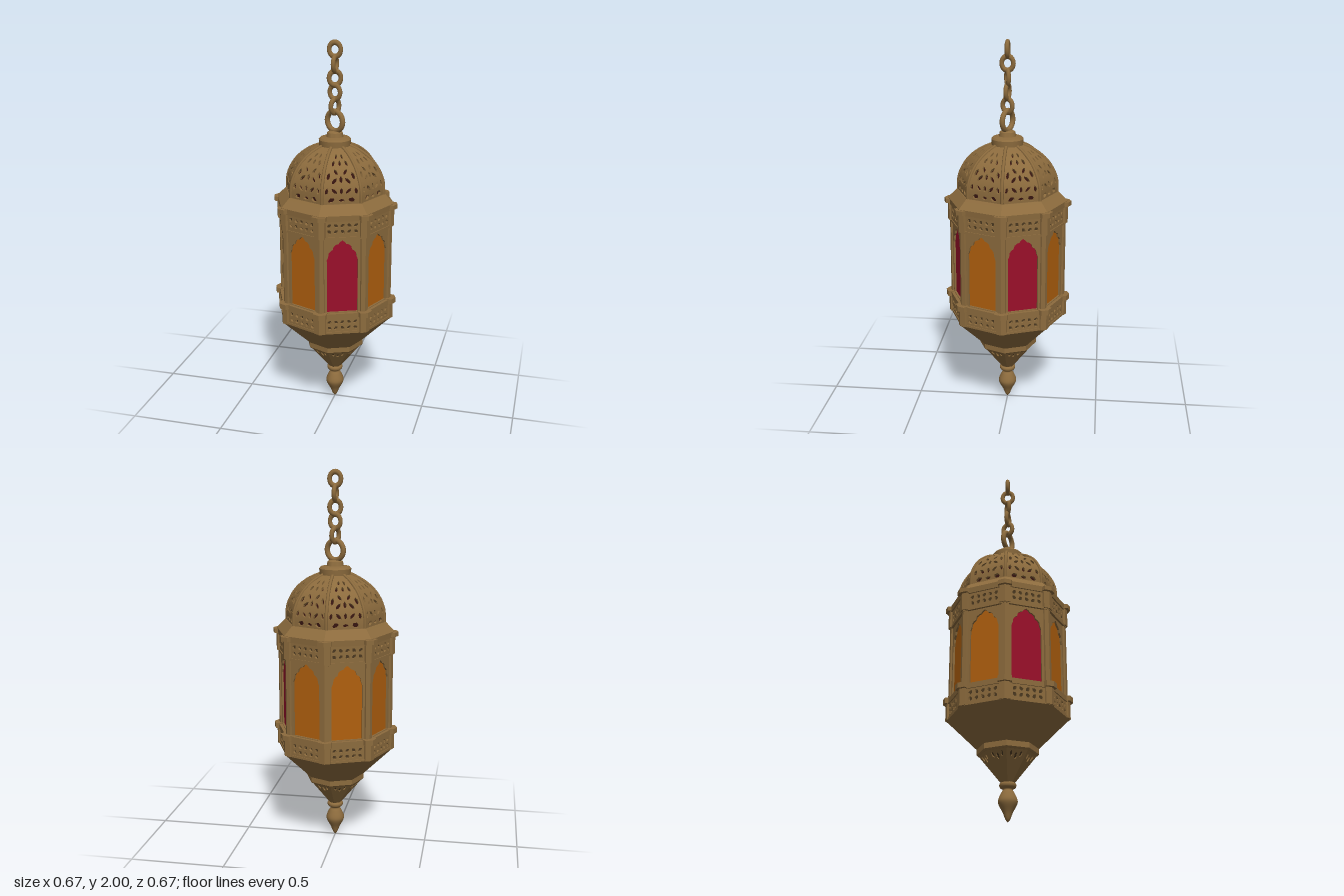
import * as THREE from 'three';
import { toCreasedNormals } from 'three/addons/utils/BufferGeometryUtils.js';

const SIDES = 8, STEP = Math.PI / 4, COS = Math.cos(STEP / 2), TAN = Math.tan(STEP / 2);
const V = (x, y) => new THREE.Vector2(x, y);
const vecs = (list) => list.map(([x, y]) => V(x, y));

function material(name, hex, side = THREE.FrontSide) {
  const m = new THREE.MeshStandardMaterial({ color: hex, side });
  m.name = name;
  return m;
}

// Six-sided leaf-shaped hole; angle leans away from vertical
function petal(x, s, len, wid, ang = 0) {
  const outline = [[0, .5], [.42, .18], [.4, -.25], [0, -.5], [-.4, -.25], [-.42, .18]];
  return outline.map(([a, b]) => V(a * wid, b * len).rotateAround(V(0, 0), -ang).add(V(x, s)));
}

// Petals listed for one half and mirrored to the other
const mirrored = (list) => list.flatMap(([x, s, l, w, a = 0]) =>
  x === 0 ? [petal(x, s, l, w, a)] : [petal(x, s, l, w, a), petal(-x, s, l, w, -a)]);

// One pierced wall of the octagon, following a profile curve of (apothem, height)
function facet(curve, s0, s1, holes, thick = .014) {
  const L = curve.getLength(), n = 6, edge = [];
  for (let i = 0; i <= n; i++) {
    const s = s0 + (s1 - s0) * i / n;
    edge.push(V(curve.getPointAt(Math.min(1, s / L)).x * TAN, s));
  }
  const shape = new THREE.Shape([...edge, ...edge.map((p) => V(-p.x, p.y)).reverse()]);
  shape.holes = holes.map((h) => new THREE.Path(h));
  const g = new THREE.ExtrudeGeometry(shape, { depth: thick, bevelEnabled: false });
  const pos = g.attributes.position, nor = g.attributes.normal;
  for (let i = 0; i < pos.count; i++) {
    const u = THREE.MathUtils.clamp(pos.getY(i) / L, 0, 1), z = pos.getZ(i) - thick;
    const p = curve.getPointAt(u), t = curve.getTangentAt(u);
    pos.setXYZ(i, pos.getX(i), p.y - t.x * z, p.x + t.y * z);
    const ny = nor.getY(i), nz = nor.getZ(i);
    nor.setXYZ(i, nor.getX(i), t.y * ny - t.x * nz, t.x * ny + t.y * nz);
  }
  return g;
}

// Straight wall profile given by corner radii and heights
const straight = (r0, y0, r1, y1) => new THREE.LineCurve(V(r0 * COS, y0), V(r1 * COS, y1));

// Octagonal ring or cone with flat sides
function octagon(list) {
  const g = new THREE.LatheGeometry(vecs(list), SIDES).toNonIndexed();
  g.computeVertexNormals();
  return g;
}

// Chevron block that wraps a corner of the octagon
function cornerBlock(r, w, y0, y1) {
  const d = w * TAN, inner = r - .06;
  const shape = new THREE.Shape(vecs([[0, -r], [w, d - r], [w, d - inner], [0, -inner], [-w, d - inner], [-w, d - r]]));
  const g = new THREE.ExtrudeGeometry(shape, { depth: y1 - y0, bevelEnabled: false });
  return g.rotateX(-Math.PI / 2).translate(0, y0, 0);
}

export function createModel() {
  const root = new THREE.Group();
  root.name = 'hangingLantern';
  const brass = material('aged brass', 0x8c6b3d);
  const amber = material('amber glass', 0xb0600e, THREE.DoubleSide);
  const ruby = material('ruby glass', 0x9a0f2a, THREE.DoubleSide);
  const maroon = material('dark dome lining', 0x35140f);
  const shade = material('shaded brass lining', 0x4a3820);

  const add = (name, geo, mat = brass, parent = root) => {
    const m = new THREE.Mesh(geo, mat);
    m.name = name;
    parent.add(m);
    return m;
  };

  // Dome profile by corner radius
  const domeProfile = [[.265, 1.205], [.262, 1.28], [.24, 1.34], [.2, 1.395], [.14, 1.44], [.075, 1.468]];
  const dome = new THREE.SplineCurve(vecs(domeProfile.map(([r, y]) => [r * COS, y])));
  const domeLen = dome.getLength();
  const domeParts = [
    facet(dome, 0, .105, mirrored([[0, .078, .034, .018], [0, .03, .018, .034], [.036, .078, .04, .018, .75],
      [.052, .032, .026, .038, .4], [.075, .078, .034, .018, -.2]])),
    facet(dome, .105, .2, mirrored([[0, .137, .036, .018], [.034, .13, .04, .018, -.75],
      [.062, .155, .04, .018, -.3], [.024, .176, .034, .016, .5]])),
    facet(dome, .2, domeLen, mirrored([[0, .225, .032, .014], [.032, .225, .036, .014, -.3], [.014, .268, .034, .011, -.15]])),
  ];
  const ribPath = new THREE.CatmullRomCurve3(dome.getPoints(15).map((p) => new THREE.Vector3(0, p.y, p.x / COS - .004)));
  const rib = new THREE.TubeGeometry(ribPath, 20, .009, 6);

  // Pierced friezes above and below the glass
  const friezeHoles = [];
  for (let i = -2; i <= 2; i++) {
    for (const row of [-1, 1]) friezeHoles.push([i, row]);
  }
  const frieze = (y0, y1, r) => facet(straight(r, y0, r, y1), 0, y1 - y0, friezeHoles.map(([i, row]) =>
    petal(i * .034, (y1 - y0) / 2 + row * .016, .026, .02, (i % 2 ? -1 : 1) * row * .7)));
  const upperFrieze = frieze(1.05, 1.15, .308), lowerFrieze = frieze(.53, .615, .312);

  // Glass wall with a lobed arch opening
  const half = [[.08, .642], [.08, .93], [.073, .948], [.07, .968], [.06, .98], [.05, .985], [.045, 1.003],
    [.032, 1.013], [.02, 1.016], [.012, 1.027]];
  const arch = vecs([...half, [0, 1.035], ...half.map(([x, y]) => [-x, y]).reverse()]);
  const wall = facet(straight(.3, .62, .3, 1.055), 0, .435, [arch.map((p) => V(p.x, p.y - .62))], .02);
  const pane = new THREE.ShapeGeometry(new THREE.Shape(arch)).translate(0, 0, .3 * COS - .01);

  // Pierced lower cone
  const lowerCone = straight(.034, .195, .15, .338);
  const coneLen = lowerCone.getLength();
  const lowerPanel = facet(lowerCone, 0, coneLen, mirrored([[0, coneLen - .04, .04, .016], [.025, coneLen - .03, .034, .014, .2]]), .008);

  // Corner posts, from cap to foot
  const posts = [
    ['postCap', cornerBlock(.337, .035, 1.145, 1.168)],
    ['postHead', cornerBlock(.32, .028, 1.05, 1.145)],
    ['postShaft', cornerBlock(.31, .02, .64, 1.05)],
    ['postCollar', cornerBlock(.337, .035, .614, .642)],
    ['postFoot', cornerBlock(.322, .028, .525, .614)],
  ];

  const rubySides = [0, 2, 6];
  for (let i = 0; i < SIDES; i++) {
    const side = new THREE.Group();
    side.name = 'side' + (i + 1);
    side.rotation.y = (i + .5) * STEP;
    root.add(side);
    domeParts.forEach((g) => add('domePanel', g, brass, side));
    add('upperFrieze', upperFrieze, brass, side);
    add('lowerFrieze', lowerFrieze, brass, side);
    add('archFrame', wall, brass, side);
    add('glassPane', pane, rubySides.includes(i) ? ruby : amber, side);
    add('lowerConePanel', lowerPanel, brass, side);

    const corner = new THREE.Group();
    corner.name = 'corner' + (i + 1);
    corner.rotation.y = i * STEP;
    root.add(corner);
    posts.forEach(([name, g]) => add(name, g, brass, corner));
    add('domeRib', rib, brass, corner);
  }

  // Dark linings behind the pierced work
  add('domeLining', octagon(domeProfile.map(([r, y]) => [r - .019, y - .008])), maroon);
  add('upperLining', octagon([[.288, 1.04], [.288, 1.15]]), shade);
  add('lowerLining', octagon([[.292, .53], [.292, .62]]), shade);
  add('coneLining', octagon([[.022, .2], [.137, .338]]), shade);

  // Octagonal mouldings
  add('eave', octagon([[.27, 1.14], [.316, 1.14], [.318, 1.17], [.282, 1.205], [.27, 1.217], [.25, 1.217]]));
  add('friezeTrim', octagon([[.28, 1.044], [.313, 1.044], [.313, 1.056], [.28, 1.056]]));
  add('sillTrim', octagon([[.28, .61], [.318, .61], [.318, .638], [.28, .638]]));
  add('upperCone', octagon([[.14, .368], [.158, .37], [.312, .52], [.316, .524], [.316, .536], [.28, .536]]));
  add('coneBand', octagon([[.13, .334], [.15, .334], [.158, .342], [.158, .372], [.13, .376]]));

  // Turned finial
  const finial = new THREE.SplineCurve(vecs([[0, 0], [.012, .015], [.026, .05], [.046, .088], [.048, .112],
    [.034, .145], [.025, .162], [.04, .174], [.042, .19], [.03, .2], [.034, .212]]));
  add('finial', new THREE.LatheGeometry(finial.getPoints(40), 24));

  // Round crown under the hanging ring
  const crown = new THREE.LatheGeometry(vecs([[.08, 1.435], [.092, 1.446], [.09, 1.458], [.082, 1.464], [.084, 1.494],
    [.076, 1.503], [.045, 1.508], [.04, 1.53], [.028, 1.537], [0, 1.538]]), 32);
  add('crown', toCreasedNormals(crown, .6));

  // Hanging ring and chain
  const ring = add('hangingRing', new THREE.TorusGeometry(.051, .014, 10, 28));
  ring.position.y = 1.588;
  ring.rotation.y = -.45;
  const link = new THREE.TorusGeometry(.03, .012, 8, 20).scale(1, 1.18, 1);
  [1.05, -.25, 1.4, .2, 1.57, 0].slice(0, 3).concat([1.4 + 1.4, 0]).forEach((turn, i) => {
    const m = add('chainLink', link, brass);
    m.position.y = 1.665 + i * .0715;
    m.rotation.y = i === 3 ? 1.5 : i === 2 ? .3 : turn;
  });
  return root;
}
